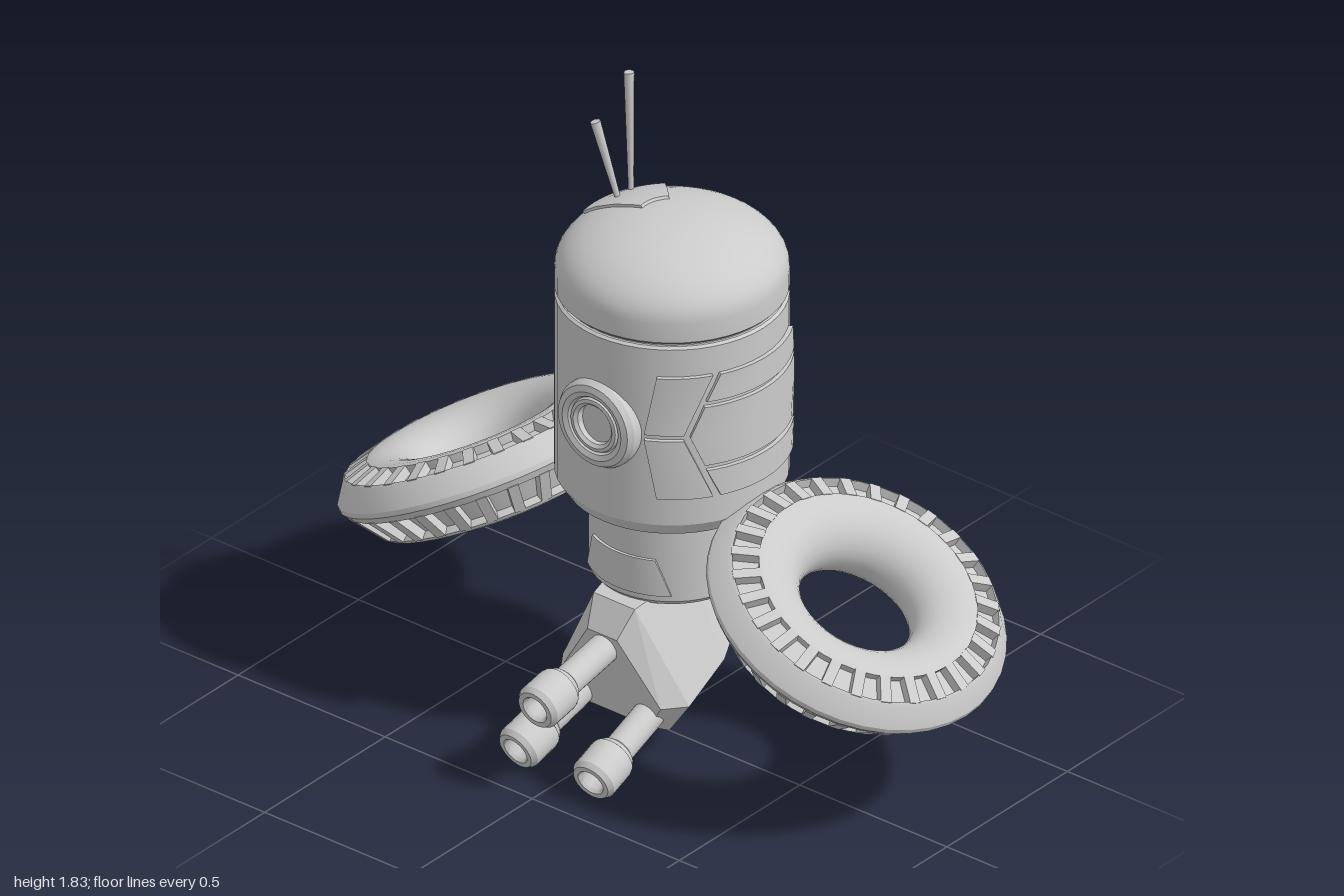
import * as THREE from 'three';
import { mergeGeometries, toCreasedNormals } from 'three/addons/utils/BufferGeometryUtils.js';

const AXIS_Z = -0.08; // the body's vertical axis
const RAD = Math.PI / 180;
const grey = new THREE.MeshStandardMaterial({ color: 0xcccccc });

function part(name, geometry, parent) {
  const mesh = new THREE.Mesh(geometry, grey);
  mesh.name = name;
  parent.add(mesh);
  return mesh;
}

// Turned shape from [radius, height] pairs, with sharp edges kept
function turned(points, segments = 48) {
  const profile = points.map(([r, y]) => new THREE.Vector2(r, y));
  return toCreasedNormals(new THREE.LatheGeometry(profile, segments), 0.5);
}

// Plate wrapped round the body: rows of [y, start angle, end angle, radius], bottom to top
function plate(rows, thickness, lift = 0) {
  const n = rows.length - 1;
  const g = new THREE.BoxGeometry(1, 1, 1, 14, n, 1);
  const p = g.attributes.position;
  for (let i = 0; i < p.count; i++) {
    const [y, a0, a1, r] = rows[Math.round((p.getY(i) + 0.5) * n)];
    const angle = THREE.MathUtils.lerp(a0, a1, p.getX(i) + 0.5) * RAD;
    const out = p.getZ(i) > 0 ? 1 : -1;
    const radius = r + out * thickness;
    p.setXYZ(i, radius * Math.sin(angle), y + out * lift, radius * Math.cos(angle));
  }
  g.computeVertexNormals();
  return g;
}

// Cross-bars that divide a groove of the ring into slots
function ribs([r0, y0], [r1, y1], count) {
  const list = [];
  for (let i = 0; i < count; i++) {
    const g = new THREE.BoxGeometry(Math.hypot(r1 - r0, y1 - y0) + 0.006, 0.03, 0.03);
    g.translate(0, 0.014, 0);
    g.rotateZ(Math.atan2(y1 - y0, r1 - r0));
    g.translate((r0 + r1) / 2, (y0 + y1) / 2, 0);
    g.rotateY((i / count) * Math.PI * 2);
    list.push(g);
  }
  return mergeGeometries(list);
}

function makeRing() {
  const ring = new THREE.Group();
  const profile = [
    [0.29, -0.1], [0.335, -0.088], [0.345, -0.078], [0.325, -0.063], [0.385, 0.015],
    [0.405, 0], [0.42, 0.02], [0.42, 0.035], [0.384, 0.09], [0.375, 0.097],
    [0.368, 0.072], [0.3, 0.092], [0.308, 0.117],
  ];
  // rounded inner surface, from the top crest to the bottom crest
  for (let i = 0; i <= 14; i++) {
    const a = Math.PI * (0.5 + i / 14);
    profile.push([0.29 + 0.13 * Math.cos(a), 0.01 + 0.11 * Math.sin(a)]);
  }
  part('ringShell', turned(profile, 40), ring);
  part('upperSlotRibs', ribs([0.375, 0.097], [0.308, 0.117], 28), ring);
  part('lowerSlotRibs', ribs([0.345, -0.078], [0.405, 0], 28), ring);
  return ring;
}

// Faceted block lofted through six-sided sections, front to back
function makeGunBlock() {
  // top z, top y, bottom z, bottom y, half widths at top, middle, bottom
  const sections = [
    [0.21, 0.38, 0.16, 0.12, 0.05, 0.17, 0.12],
    [0.16, 0.46, 0.09, 0.08, 0.07, 0.215, 0.13],
    [-0.04, 0.5, -0.06, 0.155, 0.1, 0.2, 0.12],
    [-0.28, 0.48, -0.37, 0.39, 0.06, 0.09, 0.05],
  ];
  const pos = [], idx = [];
  for (const [tz, ty, bz, by, ht, hm, hb] of sections) {
    const mz = bz + (tz - bz) * 0.3, my = by + (ty - by) * 0.3;
    pos.push(ht, ty, tz, -ht, ty, tz, -hm, my, mz, -hb, by, bz, hb, by, bz, hm, my, mz);
  }
  const last = (sections.length - 1) * 6;
  for (let s = 0; s < last; s += 6) {
    for (let i = 0; i < 6; i++) {
      const a = s + i, b = s + ((i + 1) % 6);
      idx.push(a, a + 6, b + 6, a, b + 6, b);
    }
  }
  for (let i = 1; i < 5; i++) idx.push(0, i, i + 1, last, last + i + 1, last + i);
  const indexed = new THREE.BufferGeometry();
  indexed.setAttribute('position', new THREE.Float32BufferAttribute(pos, 3));
  indexed.setIndex(idx);
  const g = indexed.toNonIndexed();
  g.computeVertexNormals();
  return g;
}

// Places a geometry built along +y so that it runs from one point towards another
function aim(mesh, from, to) {
  const a = new THREE.Vector3(...from), b = new THREE.Vector3(...to);
  mesh.position.copy(a);
  mesh.quaternion.setFromUnitVectors(new THREE.Vector3(0, 1, 0), b.sub(a).normalize());
}

export function createModel() {
  const model = new THREE.Group();
  const body = new THREE.Group();
  body.name = 'body';
  body.position.z = AXIS_Z;
  model.add(body);

  // Main drum, dome and neck
  part('drum', turned([[0, 0.725], [0.285, 0.725], [0.31, 0.765], [0.31, 1.302],
    [0.302, 1.308], [0.295, 1.308], [0.295, 1.325]]), body);
  const dome = [[0.29, 1.316], [0.302, 1.316], [0.31, 1.324], [0.31, 1.38]];
  for (let i = 1; i <= 14; i++) {
    const a = (i / 14) * Math.PI / 2;
    dome.push([Math.max(0, 0.31 * Math.cos(a)), 1.38 + 0.155 * Math.sin(a)]);
  }
  part('dome', turned(dome), body);
  part('neck', turned([[0, 0.462], [0.205, 0.462], [0.22, 0.478], [0.22, 0.73]]), body);

  // Round eye on the front
  const eye = part('eye', turned([[0.128, -0.07], [0.128, 0], [0.118, 0.017], [0.1, 0.022],
    [0.085, 0.016], [0.08, 0.008], [0.076, 0.016], [0.066, 0.018], [0.057, 0.01],
    [0.053, -0.015], [0, -0.015]], 40), body);
  eye.rotation.x = Math.PI / 2;
  eye.position.set(0, 1.037, 0.312);

  // Armour plates on the left side
  const R = 0.31;
  const sidePlates = {
    upperFrontPlate: [[1.045, 26, 45, R], [1.22, 32, 59, R]],
    lowerFrontPlate: [[0.85, 32, 59, R], [1.028, 26, 45, R]],
    upperSidePlate: [[1.142, 56, 125, R], [1.22, 63, 121, R]],
    middleSidePlate: [[0.948, 55, 126, R], [1.037, 48, 133, R], [1.126, 55, 126, R]],
    lowerSidePlate: [[0.85, 63, 121, R], [0.932, 56, 125, R]],
  };
  for (const [name, rows] of Object.entries(sidePlates)) part(name, plate(rows, 0.012), body);
  part('neckPlate', plate([[0.497, -39, 39, 0.22], [0.605, -28, 28, 0.22]], 0.008), body);

  // Hatch on the dome, following its curve
  const hatch = [0.26, 0.22, 0.17, 0.125, 0.088].map((r) =>
    [1.38 + 0.155 * Math.sqrt(1 - (r / R) ** 2), -136, -78, r]);
  part('antennaHatch', plate(hatch, 0.004, 0.007), body);

  // Two antennas, wider at the tip
  for (const [name, from, to] of [
    ['tallAntenna', [-0.2, 1.47, -0.155], [-0.22, 1.845, -0.17]],
    ['shortAntenna', [-0.192, 1.47, -0.102], [-0.255, 1.725, -0.073]],
  ]) {
    const length = new THREE.Vector3(...from).distanceTo(new THREE.Vector3(...to));
    const g = new THREE.CylinderGeometry(0.014, 0.007, length, 8).translate(0, length / 2, 0);
    aim(part(name, g, model), from, to);
  }

  // Tilted ring on each side
  for (const side of [1, -1]) {
    const ring = makeRing();
    ring.name = side > 0 ? 'leftRing' : 'rightRing';
    ring.position.set(side * 0.615, 0.545, AXIS_Z);
    ring.rotation.z = -side * 27 * RAD;
    model.add(ring);
  }

  // Gun block with three barrels
  part('gunBlock', makeGunBlock(), model);
  const barrel = turned([[0, 0], [0.042, 0], [0.042, 0.19], [0.052, 0.198], [0.052, 0.208],
    [0.062, 0.214], [0.065, 0.225], [0.065, 0.305], [0.055, 0.32], [0.04, 0.32],
    [0.034, 0.31], [0.03, 0.27], [0, 0.27]], 24);
  aim(part('upperBarrel', barrel, model), [0, 0.34, 0.175], [0, 0.277, 0.49]);
  for (const side of [1, -1]) {
    const name = side > 0 ? 'leftBarrel' : 'rightBarrel';
    aim(part(name, barrel, model), [side * 0.11, 0.167, 0.11], [side * 0.128, 0.068, 0.415]);
  }
  return model;
}
